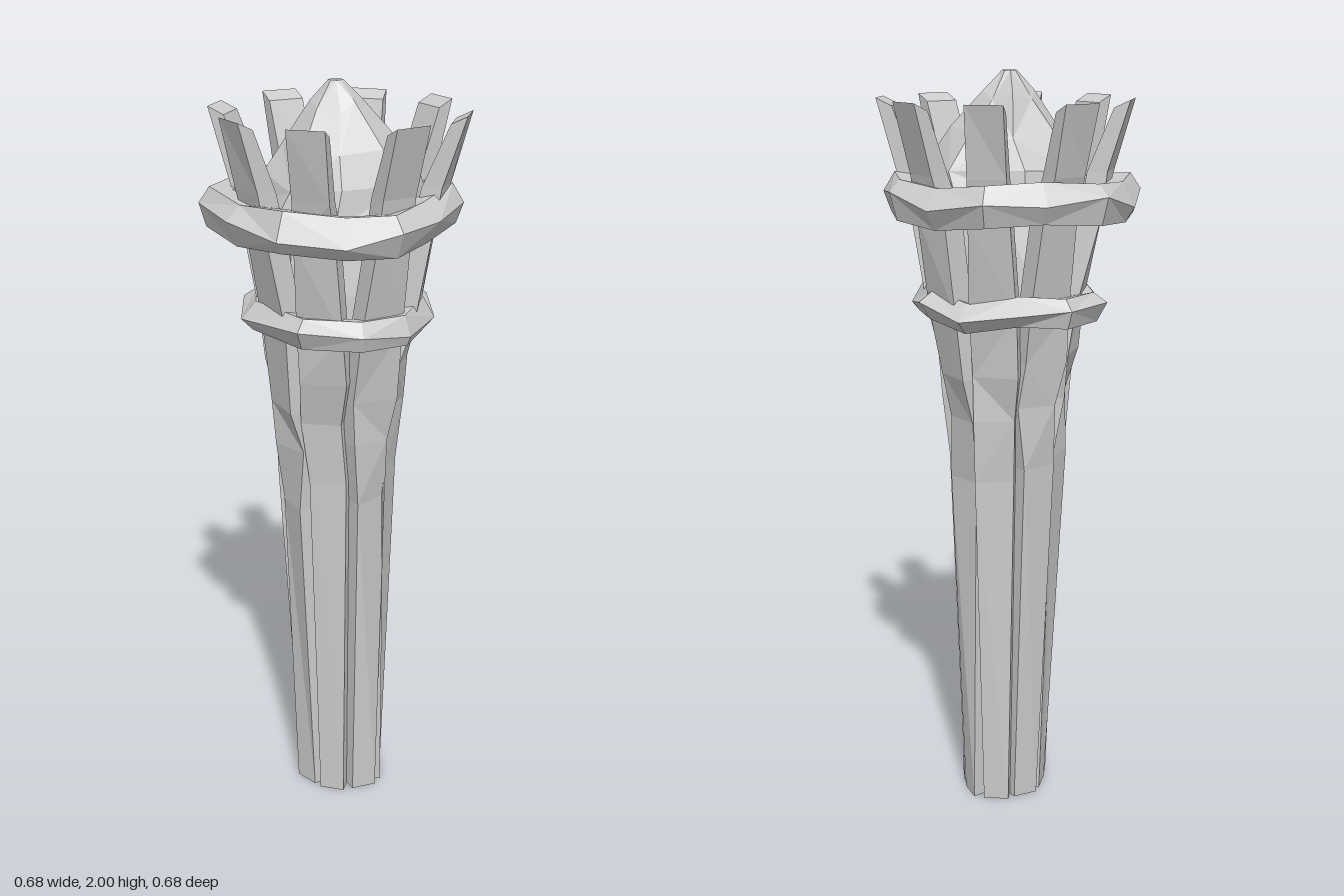
import * as THREE from 'three';

const material = new THREE.MeshStandardMaterial({ color: 0xcccccc, flatShading: true });

// Seeded noise in -1..1
function noise(n) {
  const s = Math.sin(n * 127.1 + 3.7) * 43758.5453;
  return (s - Math.floor(s)) * 2 - 1;
}

// Skin over equal-sized loops of [x, y, z]; joined end to end if closed, otherwise capped
function loft(name, loops, closed = false) {
  const n = loops[0].length;
  const index = [];
  const rows = closed ? loops.length : loops.length - 1;
  for (let j = 0; j < rows; j++) {
    const k = (j + 1) % loops.length;
    for (let i = 0; i < n; i++) {
      const a = j * n + i, b = j * n + (i + 1) % n;
      const c = k * n + (i + 1) % n, d = k * n + i;
      if ((i + j) % 2) index.push(a, b, c, a, c, d);
      else index.push(a, b, d, b, c, d);
    }
  }
  if (!closed) {
    const top = (loops.length - 1) * n;
    for (let i = 1; i < n - 1; i++) {
      index.push(0, i + 1, i, top, top + i, top + i + 1);
    }
  }
  const indexed = new THREE.BufferGeometry();
  indexed.setAttribute('position', new THREE.Float32BufferAttribute(loops.flat(2), 3));
  indexed.setIndex(index);
  const geometry = indexed.toNonIndexed();
  geometry.computeVertexNormals();
  const mesh = new THREE.Mesh(geometry, material);
  mesh.name = name;
  return mesh;
}

// One flaring plank: [height, outer radius, thickness, width]
const staveProfile = [
  [0, 0.115, 0.045, 0.068],
  [0.93, 0.143, 0.055, 0.1],
  [1.1, 0.156, 0.055, 0.106],
  [1.22, 0.178, 0.055, 0.122],
  [1.4, 0.203, 0.055, 0.122],
  [1.64, 0.25, 0.058, 0.104],
  [1.75, 0.278, 0.052, 0.097],
  [1.92, 0.328, 0.042, 0.097],
];

function stave(i, angle) {
  const last = staveProfile.length - 1;
  const loops = staveProfile.map(([y, r, depth, width], j) => {
    const seed = i * 17 + j * 3;
    const mid = j > 0 && j < 4;
    // the handle is evenly spaced, the basket is not
    const a = j > 4 ? angle : (angle + i * Math.PI / 4) / 2;
    const shift = mid ? noise(seed) * 0.012 : 0;
    const twist = noise(seed + 1) * (mid || j === 0 ? 0.013 : 0.006);
    const height = y + (mid ? noise(i * 5 + 2) * 0.06 : 0);
    const outer = r + noise(seed + 2) * 0.006;
    return [[-1, 0], [1, 0], [1, 1], [-1, 1]].map(([side, inside]) => {
      const t = side * width / 2 + shift;
      const rad = outer - inside * depth + side * twist;
      return [
        Math.sin(a) * rad + Math.cos(a) * t + (j === 0 ? 0.008 : 0),
        height + (j === last ? 0.01 - 0.02 * inside : 0),
        Math.cos(a) * rad - Math.sin(a) * t,
      ];
    });
  });
  return loft('stave', loops);
}

// Rough band from its outer corners [x, z], listed from the front towards +x
function band(name, outline, y, height, depth, seed) {
  const loops = outline.map(([x, z], i) => {
    const r = Math.hypot(x, z);
    const wobble = noise(seed + i * 2) * 0.012;
    const peak = noise(seed + i * 3 + 1) * 0.2;
    const bevel = 0.025 + noise(seed + i * 5) * 0.015;
    // inset from the outer corner and height as a share of the band
    const section = [
      [depth, 0.4], [bevel + 0.01, 0.48], [0, peak], [bevel, -0.5], [depth, -0.42],
    ];
    return section.map(([inset, h]) =>
      [x * (1 - inset / r), y + wobble + h * height, z * (1 - inset / r)]);
  });
  return loft(name, loops, true);
}

export function createModel() {
  const model = new THREE.Group();
  model.name = 'torch';

  // Eight planks forming the handle and the open basket
  const staves = new THREE.Group();
  staves.name = 'staves';
  const angles = [0, 0.81, 1.57, 2.43, 3.14, 3.9, 4.74, 5.55];
  angles.forEach((a, i) => staves.add(stave(i, a)));
  model.add(staves);

  // Two bands binding the basket
  const upperOutline = [
    [-0.07, 0.34], [0.1, 0.325], [0.225, 0.265], [0.285, 0.12], [0.312, -0.06],
    [0.265, -0.19], [0.15, -0.29], [0, -0.34], [-0.15, -0.285], [-0.29, -0.2],
    [-0.343, -0.06], [-0.343, 0.11], [-0.225, 0.25],
  ];
  const lowerOutline = [
    [-0.04, 0.27], [0.12, 0.23], [0.22, 0.14], [0.25, -0.02], [0.2, -0.16],
    [0.08, -0.25], [-0.08, -0.245], [-0.2, -0.18], [-0.275, -0.04], [-0.23, 0.13],
  ];
  model.add(band('upperBand', upperOutline, 1.682, 0.105, 0.088, 4));
  model.add(band('lowerBand', lowerOutline, 1.405, 0.078, 0.07, 40));

  // Faceted lump of fuel inside the basket: [height, radius]
  const lumpProfile = [
    [1.62, 0.15], [1.68, 0.228], [1.76, 0.205], [1.85, 0.145], [1.94, 0.068], [2, 0.018],
  ];
  const lump = lumpProfile.map(([y, r], j) => Array.from({ length: 8 }, (_, i) => {
    const inner = j > 0 && j < 5;
    const a = (i + 0.4 + (inner ? noise(j * 5 + i * 9) * 0.15 : 0)) * Math.PI / 4;
    const rad = r * (1 + noise(j * 11 + i) * 0.05);
    const lift = inner ? noise(j * 7 + i * 3) * 0.015 : 0;
    return [Math.sin(a) * rad - (j > 3 ? 0.01 : 0), y + lift, Math.cos(a) * rad];
  }));
  model.add(loft('fuelLump', lump));
  return model;
}
